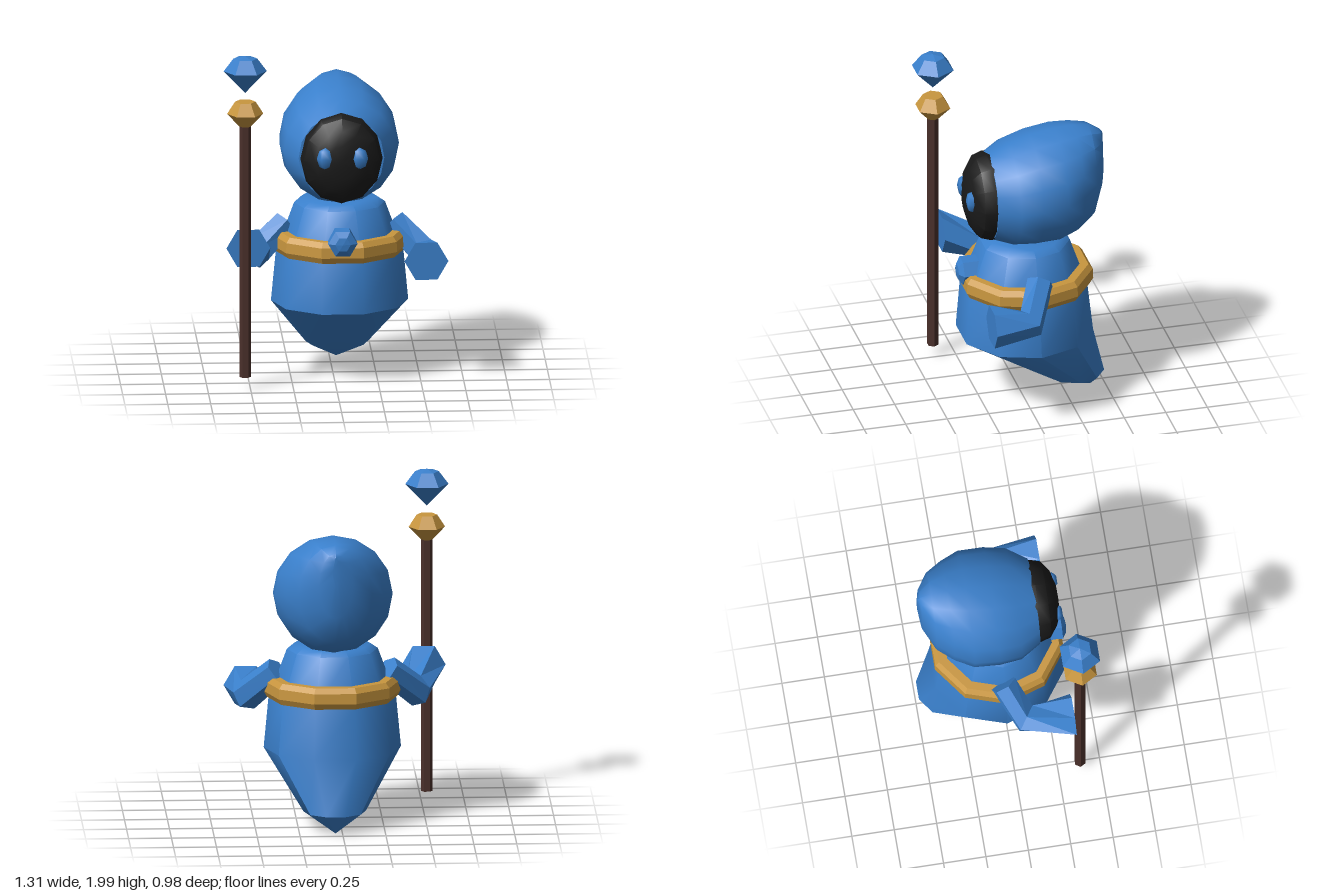
import * as THREE from 'three';
import { toCreasedNormals } from 'three/addons/utils/BufferGeometryUtils.js';

const CX = 0.04; // the figure stands slightly off-centre, the staff balances it
const FLAT = 0.05, SMOOTH = 0.72;

function material(name, color) {
  const m = new THREE.MeshStandardMaterial({ color });
  m.name = name;
  return m;
}

// Skin over cross-sections that run counter-clockwise around their direction of travel
function loft(rings, crease) {
  const n = rings[0].length, pos = [], idx = [];
  rings.forEach(r => r.forEach(p => pos.push(p.x, p.y, p.z)));
  for (let i = 0; i < rings.length - 1; i++) {
    for (let j = 0; j < n; j++) {
      const k = (j + 1) % n, a = i * n + j, b = i * n + k;
      idx.push(a, b, b + n, a, b + n, a + n);
    }
  }
  const last = (rings.length - 1) * n;
  for (let j = 1; j < n - 1; j++) {
    idx.push(0, j + 1, j, last, last + j, last + j + 1);
  }
  const g = new THREE.BufferGeometry();
  g.setAttribute('position', new THREE.Float32BufferAttribute(pos, 3));
  g.setIndex(idx);
  return toCreasedNormals(g, crease);
}

function ring(n, fn) {
  return Array.from({ length: n }, (_, j) => fn(Math.cos(j / n * Math.PI * 2), Math.sin(j / n * Math.PI * 2)));
}

// Upright ellipses stacked from back to front: [z, bottom, top, half width]
function zLoft(sections, n) {
  return loft(sections.map(([z, y0, y1, rx]) => ring(n, (c, s) =>
    new THREE.Vector3(CX + rx * c, (y0 + y1) / 2 + (y1 - y0) / 2 * s, z))), SMOOTH);
}

function faceted(profile, sides) {
  const pts = profile.map(([r, y]) => new THREE.Vector2(r, y));
  return toCreasedNormals(new THREE.LatheGeometry(pts, sides, Math.PI / 2), FLAT);
}

// Six-sided sleeve along a bent path
function sleeve(points, radii) {
  const p = points.map(a => new THREE.Vector3(...a));
  const dirs = [p[1].clone().sub(p[0]).normalize(), null, new THREE.Vector3(0, 0, 1)];
  dirs[1] = p[2].clone().sub(p[1]).normalize().add(dirs[0]).normalize();
  const up = new THREE.Vector3(0, 1, 0.6);
  return loft(p.map((c, i) => {
    const u = new THREE.Vector3().crossVectors(up, dirs[i]).normalize();
    const v = new THREE.Vector3().crossVectors(dirs[i], u);
    return ring(6, (a, b) => c.clone().addScaledVector(u, a * radii[i]).addScaledVector(v, b * radii[i]));
  }), FLAT);
}

export function createModel() {
  const model = new THREE.Group();
  model.name = 'hoodedMage';
  const blue = material('blue cloth', 0x3a80cc);
  const gold = material('gold', 0xc8963f);
  const black = material('shadow black', 0x1a1a1a);
  const wood = material('dark wood', 0x4a302b);

  const add = (name, geometry, mat, x = 0, y = 0, z = 0, parent = model) => {
    const mesh = new THREE.Mesh(geometry, mat);
    mesh.name = name;
    mesh.position.set(x, y, z);
    parent.add(mesh);
    return mesh;
  };

  // Robe: ten-sided rings whose centre slides back towards the tail
  const robe = [ // [y, centre z, radius]
    [0.01, -0.415, 0.002], [0.12, -0.312, 0.182], [0.44, -0.02, 0.40],
    [0.735, -0.015, 0.372], [1.025, -0.02, 0.265], [1.055, -0.02, 0.22],
  ];
  add('robe', loft(robe.map(([y, z, r]) => ring(10, (c, s) =>
    new THREE.Vector3(CX + r * c, y, z - r * s))), SMOOTH), blue);

  // Belt with a hexagonal buckle
  add('belt', faceted([[0.33, 0.74], [0.38, 0.74], [0.40, 0.775], [0.397, 0.835],
    [0.372, 0.865], [0.31, 0.865]], 10), gold, CX, 0, -0.022);
  const buckle = faceted([[0.085, -0.10], [0.085, 0], [0.045, 0.025], [0, 0.03]], 6);
  buckle.rotateX(Math.PI / 2);
  add('beltGem', buckle, blue, CX, 0.862, 0.36);

  // Hood, swept up to a peak at the back
  add('hood', zLoft([
    [-0.487, 1.50, 1.67, 0.02], [-0.47, 1.30, 1.69, 0.10], [-0.405, 1.14, 1.725, 0.215],
    [-0.31, 1.07, 1.735, 0.285], [-0.20, 1.035, 1.73, 0.342], [-0.05, 1.03, 1.705, 0.348],
    [0.08, 1.04, 1.66, 0.33], [0.20, 1.08, 1.60, 0.25],
  ], 16), blue);

  // Dark face bulging out of the hood
  add('face', zLoft([
    [0.15, 1.08, 1.60, 0.235], [0.21, 1.07, 1.61, 0.24], [0.27, 1.09, 1.59, 0.222],
    [0.315, 1.16, 1.52, 0.16], [0.338, 1.24, 1.44, 0.09], [0.343, 1.32, 1.36, 0.02],
  ], 12), black);

  for (const side of [-1, 1]) {
    const eye = add(side > 0 ? 'leftEye' : 'rightEye', new THREE.SphereGeometry(1, 6, 4), blue,
      CX + side * 0.1, 1.365, 0.325);
    eye.scale.set(0.05, 0.066, 0.032);
  }

  // Arms with flared sleeves, the right one raised to the staff
  add('leftArm', sleeve([[0.36, 0.90, -0.03], [0.53, 0.735, 0.07], [0.53, 0.74, 0.305]],
    [0.08, 0.092, 0.128]), blue);
  add('rightArm', sleeve([[-0.28, 0.90, -0.03], [-0.455, 0.745, 0.075], [-0.51, 0.84, 0.345]],
    [0.08, 0.092, 0.128]), blue);

  // Staff with a gold head and a floating gem
  const staff = new THREE.Group();
  staff.name = 'staff';
  staff.position.set(-0.53, 0, 0.38);
  model.add(staff);
  add('staffShaft', faceted([[0, 0.08], [0.034, 0.08], [0.034, 1.59], [0, 1.59]], 6), wood, 0, 0, 0, staff);
  add('staffHead', faceted([[0, 1.58], [0.035, 1.58], [0.106, 1.655], [0.06, 1.727], [0, 1.727]], 6),
    gold, 0, 0, 0, staff);
  add('floatingGem', faceted([[0, 1.78], [0.126, 1.91], [0.07, 1.985], [0, 2.0]], 6), blue, 0, 0, 0, staff);

  return model;
}
